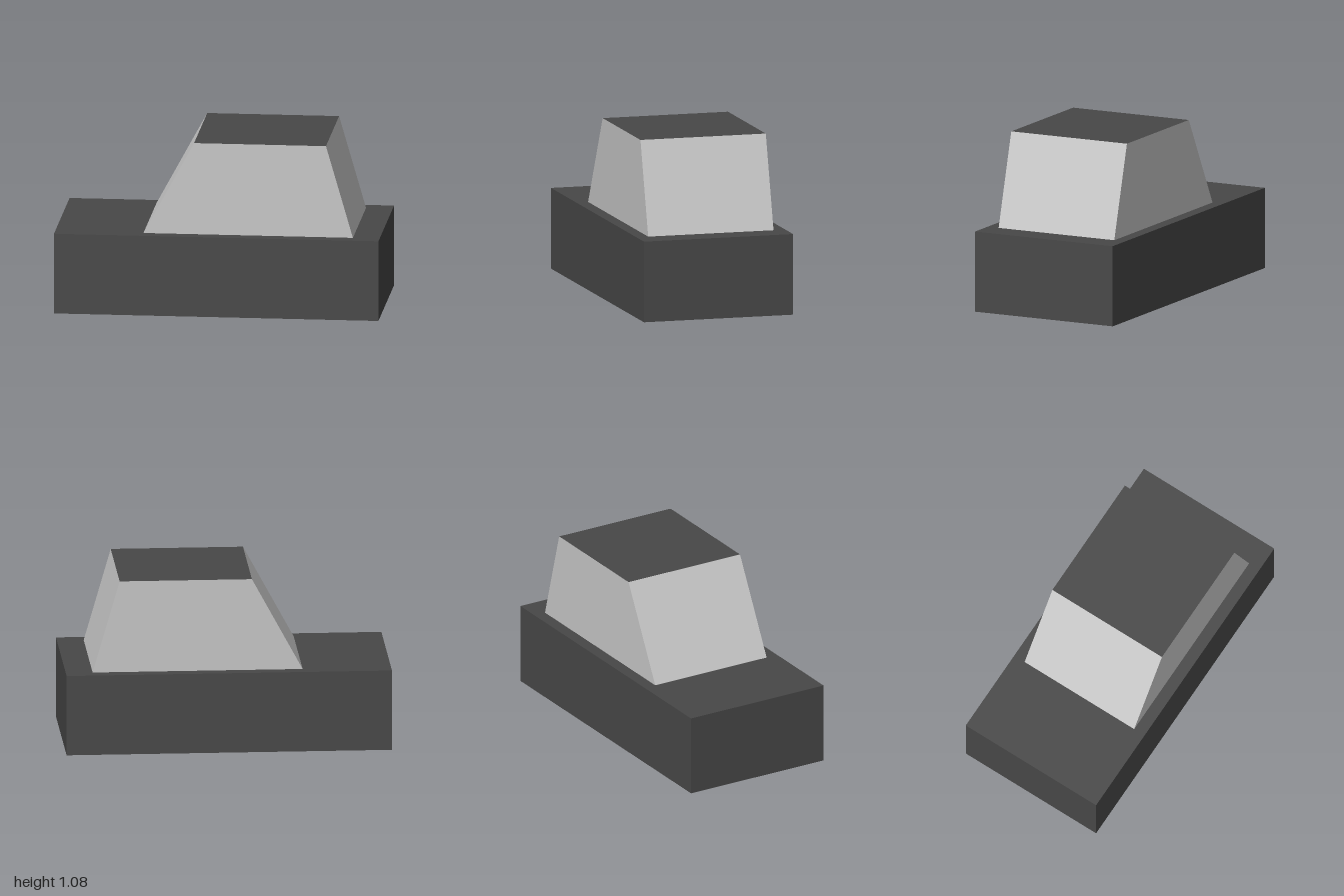
import * as THREE from 'three';

const paint = new THREE.MeshStandardMaterial({ color: 0x484848 });
paint.name = 'darkPaint';
const glass = new THREE.MeshStandardMaterial({ color: 0xc8c8c8 });
glass.name = 'paleGlass';

const BODY = { width: 2, height: 0.502, depth: 0.954 };
const CABIN = { height: 0.574, depth: 0.802, base: [-0.456, 0.835], roof: [-0.144, 0.669] };

// Box whose left and right ends slope between the base and roof spans
function cabinGeometry({ height, depth, base, roof }) {
  const geometry = new THREE.BoxGeometry(1, height, depth);
  geometry.translate(0, height / 2, 0);
  const p = geometry.attributes.position;
  for (let i = 0; i < p.count; i++) {
    const span = p.getY(i) > height / 2 ? roof : base;
    p.setX(i, span[p.getX(i) < 0 ? 0 : 1]);
  }
  geometry.computeVertexNormals();
  return geometry;
}

export function createModel() {
  const model = new THREE.Group();
  model.name = 'simpleCar';

  // Lower body block
  const body = new THREE.Mesh(new THREE.BoxGeometry(BODY.width, BODY.height, BODY.depth), paint);
  body.name = 'body';
  body.position.y = BODY.height / 2;
  model.add(body);

  // Cabin: glass on all four sides, painted roof and floor
  const cabin = new THREE.Mesh(cabinGeometry(CABIN), [glass, glass, paint, paint, glass, glass]);
  cabin.name = 'cabin';
  cabin.position.y = BODY.height;
  model.add(cabin);

  return model;
}
